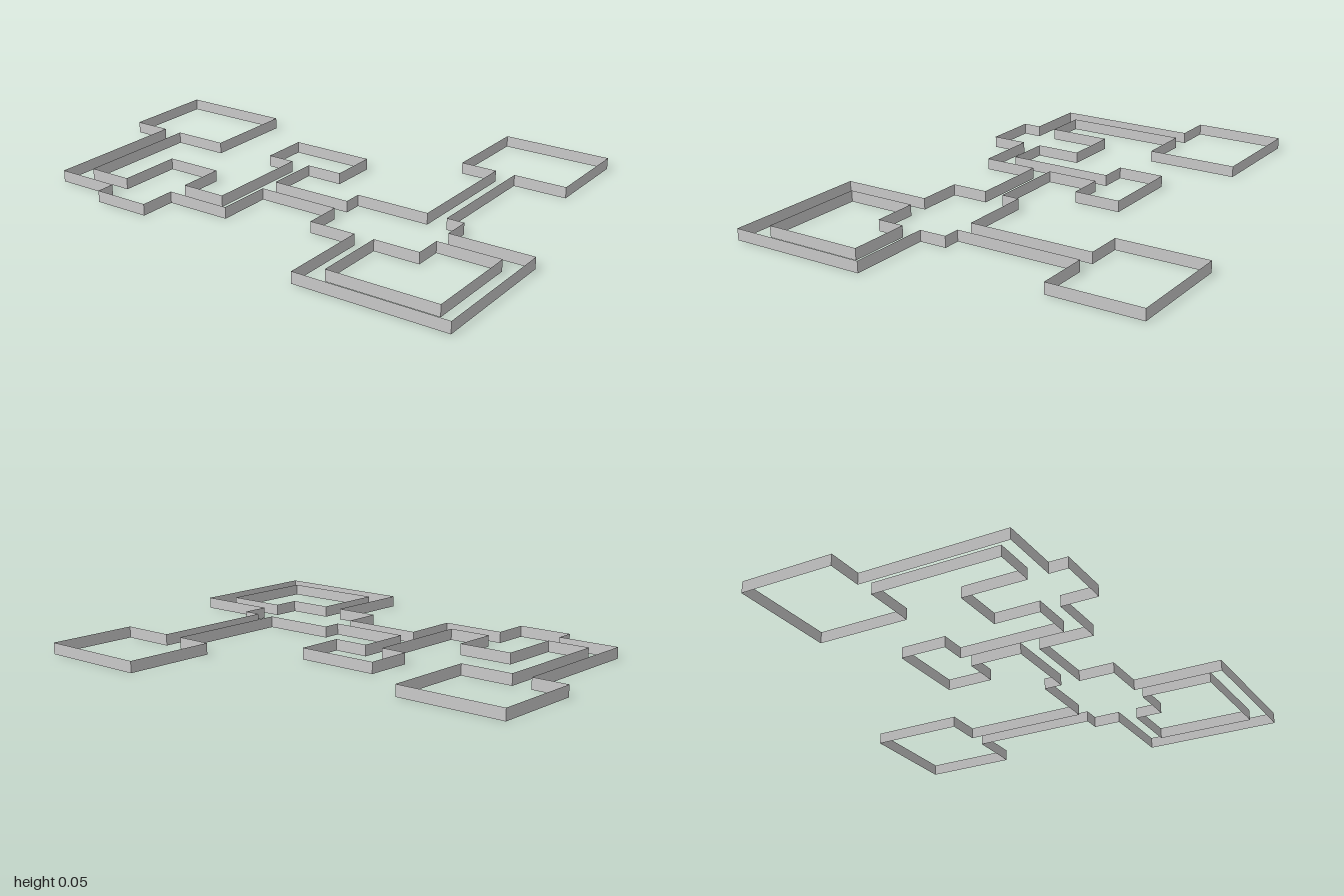
import * as THREE from 'three';

const HEIGHT = 0.045;

// Vertical, open-topped wall following a closed floor-plan outline of [x, z] corners.
function wallLoop(name, corners, material) {
  const positions = [];
  corners.forEach(([x0, z0], i) => {
    const [x1, z1] = corners[(i + 1) % corners.length];
    positions.push(
      x0, 0, z0, x0, HEIGHT, z0, x1, HEIGHT, z1,
      x0, 0, z0, x1, HEIGHT, z1, x1, 0, z1
    );
  });
  const geometry = new THREE.BufferGeometry();
  geometry.setAttribute('position', new THREE.Float32BufferAttribute(positions, 3));
  geometry.computeVertexNormals();
  const mesh = new THREE.Mesh(geometry, material);
  mesh.name = name;
  return mesh;
}

export function createModel() {
  const group = new THREE.Group();
  group.name = 'floorPlanWalls';
  const material = new THREE.MeshStandardMaterial({
    color: 0xcccccc, side: THREE.DoubleSide, flatShading: true
  });

  // Outline around all rooms and the corridors joining them
  const outer = [
    // back right room
    [0.03, -0.851], [0.03, -1], [0.405, -1], [0.405, -0.554], [0.03, -0.554], [0.03, -0.772],
    // back left room, right side
    [-0.479, -0.772], [-0.479, -0.596], [-0.22, -0.596], [-0.22, -0.37], [-0.405, -0.37], [-0.405, -0.19],
    // small middle room
    [0.03, -0.19], [0.03, -0.3], [0.22, -0.3], [0.22, 0.036], [0.03, 0.036], [0.03, -0.11],
    // central hall, right side
    [-0.183, -0.11], [-0.183, 0.216], [-0.11, 0.216], [-0.11, 0.514],
    // front right room
    [0.4, 0.514], [0.4, 0.365], [0.775, 0.365], [0.775, 0.811], [0.4, 0.811], [0.4, 0.594],
    // central hall, front side
    [-0.11, 0.594], [-0.11, 0.665], [-0.22, 0.665],
    // looping corridor
    [-0.22, 1], [-0.775, 1], [-0.775, 0.402], [-0.41, 0.402],
    // central hall, left side
    [-0.41, 0.216], [-0.262, 0.216], [-0.262, -0.11],
    // back left room, left side
    [-0.484, -0.11], [-0.484, -0.37], [-0.632, -0.37], [-0.632, -0.596], [-0.558, -0.596], [-0.558, -0.851]
  ];
  group.add(wallLoop('outerWall', outer, material));

  // Island enclosed by the looping corridor
  const inner = [
    [-0.698, 0.482], [-0.41, 0.482], [-0.41, 0.665],
    [-0.3, 0.665], [-0.3, 0.918], [-0.698, 0.918]
  ];
  group.add(wallLoop('innerCourtWall', inner, material));

  return group;
}
